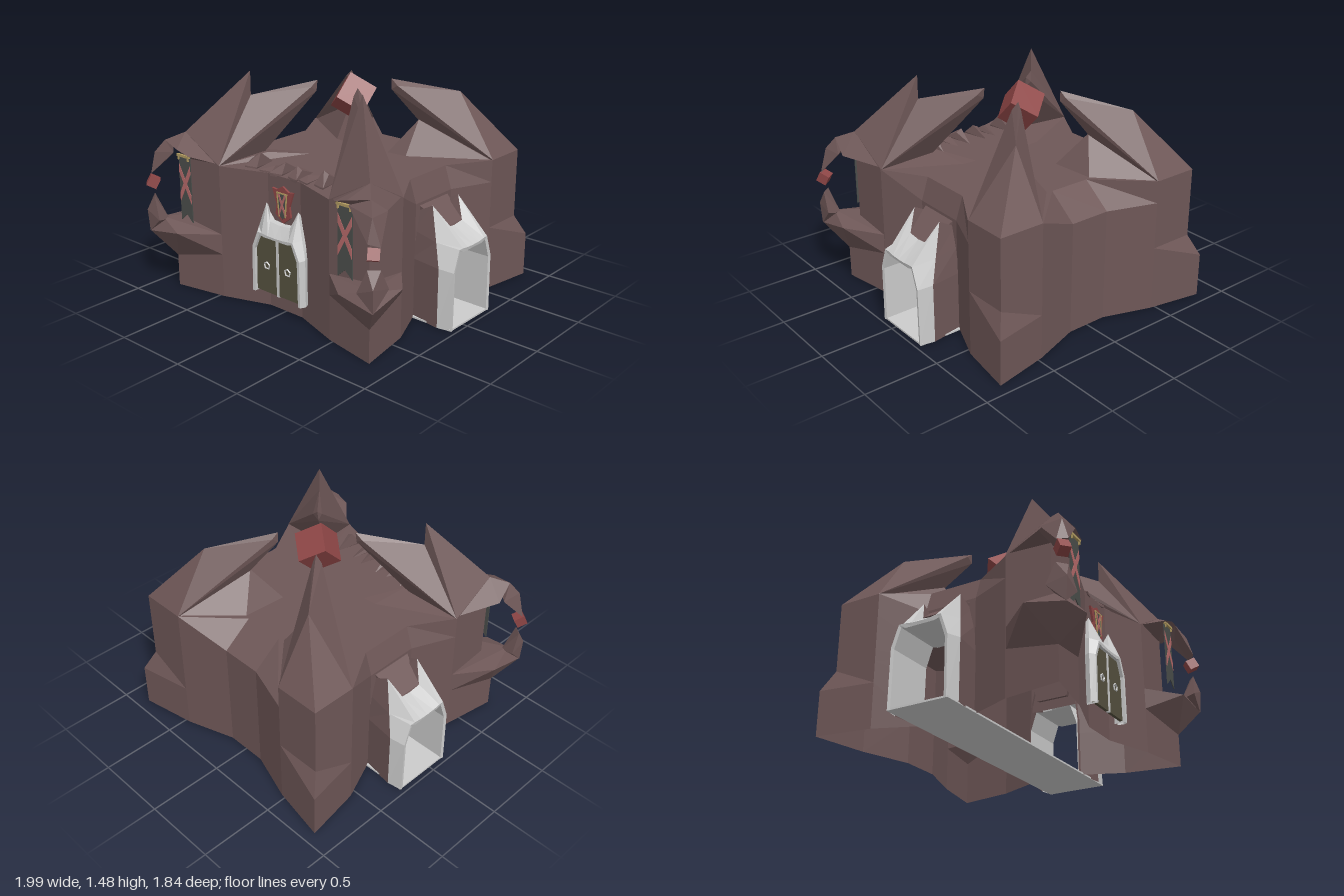
import * as THREE from 'three';
import { ConvexGeometry } from 'three/addons/geometries/ConvexGeometry.js';

const MID = -0.075; // z of the building's own centre line
const mat = (color) => new THREE.MeshStandardMaterial({ color, flatShading: true, side: THREE.DoubleSide });

export function createModel() {
  const root = new THREE.Group();
  const stone = mat(0x6e5757), grey = mat(0xcccccc), red = mat(0x8e4646);
  const cloth = mat(0x4b4e4b), pink = mat(0xb56a6a), gold = mat(0xb09a60), wood = mat(0x55513f);

  const add = (name, geo, material, x = 0, y = 0, z = 0, parent = root) => {
    const m = new THREE.Mesh(geo, material);
    m.name = name;
    m.position.set(x, y, z);
    parent.add(m);
    return m;
  };
  const hull = (name, pts, s = 1) =>
    add(name, new ConvexGeometry(pts.map(([x, y, z]) => new THREE.Vector3(x * s, y, z))), stone);

  // Skins consecutive rings of points
  const loft = (rings, closed, skip = () => false) => {
    const pos = [], n = rings[0].length;
    for (let r = 0; r < rings.length - 1; r++)
      for (let i = 0; i < (closed ? n : n - 1); i++) {
        if (skip(r, i)) continue;
        const j = (i + 1) % n, a = rings[r][i], b = rings[r + 1][i], c = rings[r + 1][j], d = rings[r][j];
        pos.push(...a, ...b, ...c, ...a, ...c, ...d);
      }
    const g = new THREE.BufferGeometry();
    g.setAttribute('position', new THREE.Float32BufferAttribute(pos, 3));
    g.computeVertexNormals();
    return g;
  };

  // Star-plan walls: upright at the front, sloped eaves at sides and back, gaps for the side passage
  const plan = (y, corner, side = 0.66, back = 0.665) => {
    const half = (centre) => [[side, 0.185], [0.78, 0.47], corner, [0.47, 0.775], [0.14, centre]];
    const f = half(0.665), b = half(back);
    return [
      ...f.map(([x, z]) => [x, y, MID + z]), ...[...f].reverse().map(([x, z]) => [-x, y, MID + z]),
      ...b.map(([x, z]) => [-x, y, MID - z]), ...[...b].reverse().map(([x, z]) => [x, y, MID - z]),
    ];
  };
  const foot = [0.84, 0.845], top = [0.78, 0.775];
  const rings = [plan(0, foot), plan(0.3, foot), plan(0.44, top), plan(0.52, top), plan(0.76, top),
    plan(0.91, top, 0.61, 0.47)];
  rings.push(rings[0].map(() => [0, 0.91, MID]));
  add('walls', loft(rings, true, (r, i) => r < 3 && (i === 9 || i === 19)), stone);

  // Horned arch: half profiles of [width, height, depth], from the wall outward and back along the inside
  const arch = (halves) => loft(halves.map((half) => [
    ...half.map(([w, y, d]) => [-w, y, d]),
    ...half.slice(0, -1).reverse(),
  ]), false);
  const inner = (d) => [[0.185, 0, d], [0.18, 0.38, d], [0.135, 0.51, d], [0.1, 0.5, d], [0.05, 0.5, d], [0, 0.5, d]];
  const wallRing = [[0.19, 0, -0.02], [0.19, 0.4, -0.02], [0.17, 0.58, -0.02], [0.14, 0.7, -0.02], [0.085, 0.62, -0.02], [0, 0.61, -0.02]];
  const hornRing = [[0.222, 0, 0.21], [0.222, 0.4, 0.21], [0.185, 0.55, 0.16], [0.135, 0.76, 0.09], [0.085, 0.62, 0.16], [0, 0.61, 0.16]];
  const frame = [
    hornRing,
    [[0.205, 0, 0.31], [0.2, 0.39, 0.31], [0.15, 0.53, 0.31], [0.115, 0.53, 0.31], [0.06, 0.522, 0.31], [0, 0.52, 0.31]],
    inner(0.305),
    inner(-0.02),
  ];
  const sideFrame = arch(frame), sideJamb = arch([wallRing, hornRing]);
  for (const s of [1, -1]) {
    const porch = new THREE.Group();
    porch.name = 'sidePorch';
    porch.position.set(s * 0.66, 0, MID);
    porch.rotation.y = s * Math.PI / 2;
    root.add(porch);
    add('sideArch', sideFrame, grey, 0, 0, 0, porch);
    add('porchWall', sideJamb, stone, 0, 0, 0, porch);
    hull('archAwning', [[0.62, 0.77, MID + 0.16], [0.62, 0.77, MID - 0.16], [0.82, 0.625, MID + 0.09],
      [0.82, 0.625, MID - 0.09], [0.62, 0.58, MID + 0.12], [0.62, 0.58, MID - 0.12]], s);
  }
  add('passageFloor', new THREE.BoxGeometry(1.93, 0.012, 0.42), grey, 0, 0.006, MID);

  // Front doorway
  const doorway = new THREE.Group();
  doorway.name = 'frontDoorway';
  root.add(doorway);
  add('doorFrame', arch([wallRing, ...frame]), grey, 0, 0.12, 0.58, doorway).scale.set(1.02, 0.79, 0.33);
  add('doorBacking', new THREE.BoxGeometry(0.38, 0.42, 0.02), grey, 0, 0.33, 0.575, doorway);
  const leaf = new THREE.Shape([[0.01, 0.13], [0.19, 0.13], [0.188, 0.42], [0.14, 0.515], [0.01, 0.515]]
    .map((p) => new THREE.Vector2(...p)));
  for (const s of [1, -1]) {
    const d = add('doorLeaf', new THREE.ExtrudeGeometry(leaf, { depth: 0.02, bevelEnabled: false }), wood, 0, 0, 0.64, doorway);
    d.scale.x = s;
    add('doorRing', new THREE.TorusGeometry(0.024, 0.006, 4, 5), grey, s * 0.09, 0.32, 0.667, doorway)
      .rotation.z = Math.PI / 2;
  }
  add('doorStrip', new THREE.BoxGeometry(0.02, 0.39, 0.02), grey, 0, 0.32, 0.655, doorway);

  // Plain shield above the door
  const flat = (name, pts, depth, material, x, y, z) => add(name, new THREE.ExtrudeGeometry(
    new THREE.Shape(pts.map((p) => new THREE.Vector2(...p))), { depth, bevelEnabled: false }), material, x, y, z);
  flat('shield', [[-0.09, 0.1], [-0.05, 0.095], [0, 0.125], [0.05, 0.095], [0.09, 0.1], [0.055, 0], [0.065, -0.07],
    [0, -0.12], [-0.065, -0.07], [-0.055, 0]], 0.02, red, 0, 0.73, 0.585);
  flat('shieldPanel', [[-0.04, 0.08], [0.04, 0.08], [0.025, -0.07], [0, -0.09], [-0.025, -0.07]], 0.006, cloth, 0, 0.73, 0.605);
  for (const s of [1, -1]) {
    add('shieldTrim', new THREE.BoxGeometry(0.008, 0.16, 0.006), gold, s * 0.033, 0.735, 0.612).rotation.z = -s * 0.1;
    add('shieldBand', new THREE.BoxGeometry(0.014, 0.15, 0.006), pink, 0, 0.735, 0.612).rotation.z = s * 0.4;
  }
  add('shieldTopTrim', new THREE.BoxGeometry(0.09, 0.008, 0.006), gold, 0, 0.81, 0.612);

  for (const s of [1, -1]) {
    // Front roof claw, the low rise under it and the spike in front of it
    hull('frontClaw', [[0.17, 1.41, 0.09], [0.17, 1.34, 0.1], [0.18, 1.37, 0.14], [0.22, 1.37, 0.1], [0.47, 1.32, 0.4],
      [0.78, 0.91, 0.39], [0.47, 0.91, 0.7], [0.4, 0.94, 0.36]], s);
    hull('frontRise', [[0.18, 0.9, 0.07], [0.3, 0.9, 0.08], [0.78, 0.91, 0.39], [0.47, 0.91, 0.7], [0.36, 0.95, 0.37]], s);
    hull('frontSpike', [[0.47, 1.48, 0.4], [0.78, 1.08, 0.7], [0.47, 0.91, 0.7], [0.78, 0.91, 0.39],
      [0.47, 0.91, 0.4], [0.78, 0.9, 0.7]], s);

    // Back roof claw with its gable
    hull('backClaw', [[0.17, 1.41, -0.25], [0.17, 1.34, -0.25], [0.18, 1.37, -0.29], [0.22, 1.37, -0.25],
      [0.47, 1.31, -0.6], [0.78, 0.91, -0.85], [0.78, 0.91, -0.55], [0.47, 0.91, -0.85], [0.42, 0.91, -0.52]], s);
    hull('backGable', [[0.15, 0.9, -0.23], [0.3, 0.9, -0.24], [0.3, 1.13, -0.38], [0.78, 0.9, -0.55],
      [0.17, 0.9, -0.54], [0.47, 1.1, -0.58], [0.47, 0.9, -0.85]], s);

    // Hooked beak and upturned jaw at each front corner
    hull('beakBase', [[0.78, 1.08, 0.7], [0.5, 0.92, 0.7], [0.78, 0.92, 0.42], [0.87, 1.03, 0.8], [0.62, 0.97, 0.82],
      [0.72, 1.0, 0.83], [0.89, 0.94, 0.68], [0.76, 0.9, 0.7]], s);
    hull('beakTip', [[0.87, 1.03, 0.8], [0.74, 0.98, 0.84], [0.91, 0.95, 0.7], [0.975, 0.79, 0.84],
      [0.92, 0.81, 0.89], [0.84, 0.92, 0.79], [0.92, 0.95, 0.85]], s);
    hull('jawBase', [[0.47, 0.44, 0.7], [0.47, 0.3, 0.7], [0.7, 0.44, 0.88], [0.78, 0.44, 0.4], [0.78, 0.3, 0.4],
      [0.96, 0.46, 0.62], [0.84, 0.22, 0.77], [0.96, 0.4, 0.89], [0.9, 0.5, 0.83]], s);
    hull('jawTip', [[0.87, 0.48, 0.8], [0.98, 0.52, 0.77], [0.85, 0.5, 0.9], [0.965, 0.4, 0.89], [0.97, 0.65, 0.83],
      [0.91, 0.65, 0.88], [0.97, 0.55, 0.9]], s);
    add('smallCrystal', new THREE.BoxGeometry(0.07, 0.07, 0.07), red, s * 0.94, 0.745, 0.86)
      .rotation.set(-0.6, s * 0.6, s * 0.3);

    // Banner under the beak
    const x = s * 0.683;
    flat('banner', [[-0.055, 0.96], [0.055, 0.96], [0.055, 0.51], [0, 0.56], [-0.055, 0.51]], 0.006, cloth, x, 0, 0.797);
    add('bannerBar', new THREE.BoxGeometry(0.115, 0.016, 0.016), gold, x, 0.96, 0.81);
    for (const t of [1, -1]) {
      flat('bannerBand', [[-0.053, 0.9], [-0.053, 0.84], [0.053, 0.64], [0.053, 0.7]].map(([a, b]) => [a * t, b]),
        0.004, pink, x, 0, 0.802);
      add('bannerHook', new THREE.BoxGeometry(0.008, 0.03, 0.01), gold, x + t * 0.045, 0.945, 0.812);
    }

    // Teeth lying back over the front eave
    for (const [c, h] of [[0.07, 0.98], [0.16, 0.94], [0.29, 1.0]])
      hull('eaveTooth', [[c - 0.04, 0.9, 0.585], [c + 0.04, 0.9, 0.6], [c - 0.045, 0.92, 0.58], [c + 0.045, 0.92, 0.6],
        [c, 0.905, 0.39], [c - 0.02, h, 0.52], [c + 0.02, h - 0.02, 0.52]], s);
  }

  // Floating crystal
  add('crystal', new THREE.BoxGeometry(0.195, 0.195, 0.195), red, 0, 1.297, -0.07)
    .rotation.set(-Math.PI / 4, Math.PI / 4, 0);

  return root;
}
